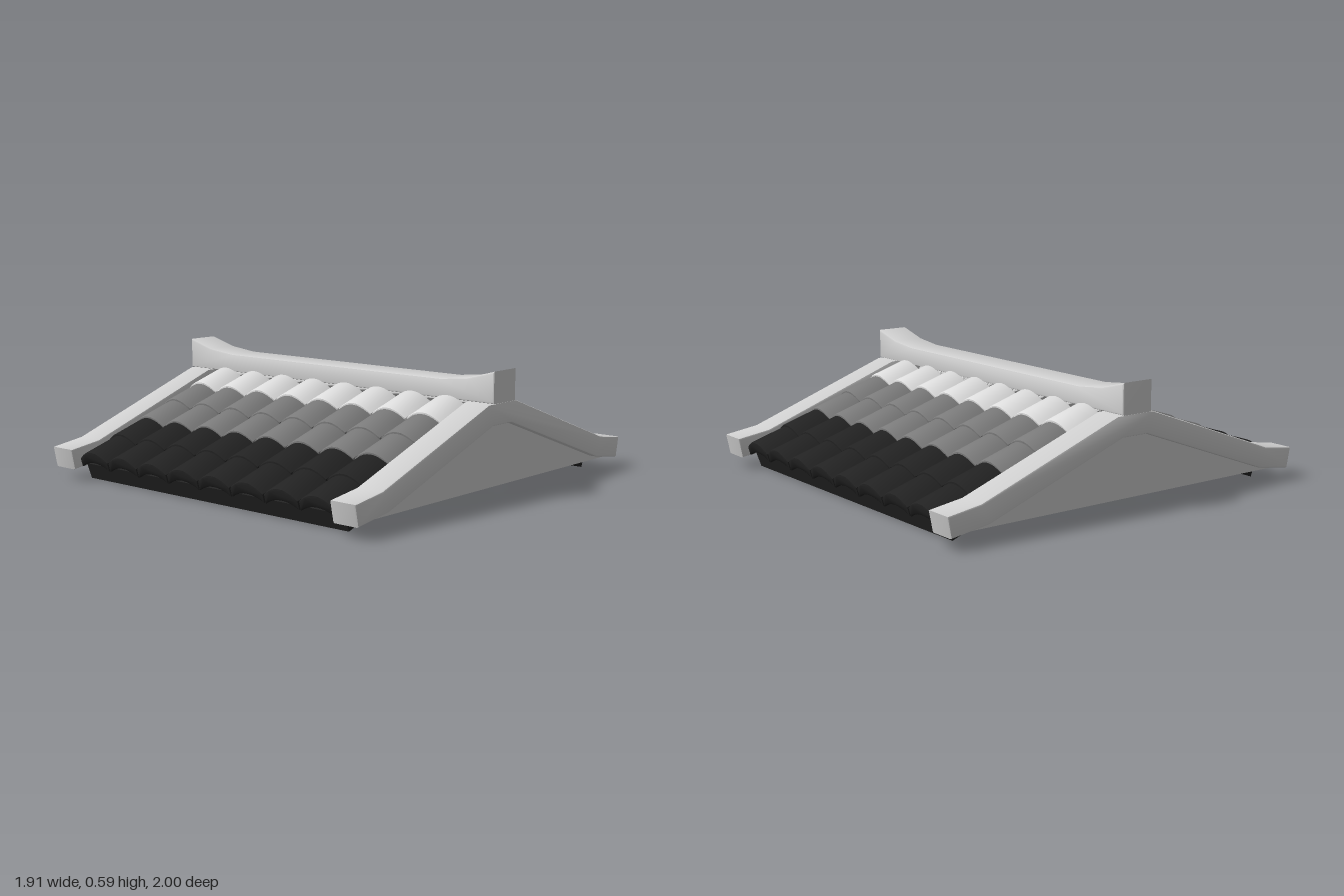
import * as THREE from 'three';
import { toCreasedNormals } from 'three/addons/utils/BufferGeometryUtils.js';

const mat = (name, color) => {
  const m = new THREE.MeshStandardMaterial({ color });
  m.name = name;
  return m;
};

const shapeOf = (pts) => new THREE.Shape(pts.map(([x, y]) => new THREE.Vector2(x, y)));

// Extrude a profile to a total depth, centred on z, with a small bevel kept inside the outline
function solid(pts, depth, bevel) {
  const g = new THREE.ExtrudeGeometry(shapeOf(pts), {
    depth: depth - 2 * bevel, bevelEnabled: bevel > 0, bevelSize: bevel,
    bevelThickness: bevel, bevelOffset: -bevel, bevelSegments: 2,
  });
  g.translate(0, 0, -(depth - 2 * bevel) / 2);
  return toCreasedNormals(g, 0.6);
}

// Complete a right-hand run of points with its mirror image
const mirrored = (pts) => [...pts, ...pts.map(([x, y]) => [-x, y]).reverse()];

export function createModel() {
  const root = new THREE.Group();
  root.name = 'tiledRoof';
  const plaster = mat('pale plaster', 0xd2d2d2);
  const light = mat('white tile', 0xdcdcdc);
  const grey = mat('grey tile', 0x7a7a7a);
  const black = mat('black tile', 0x222222);

  const add = (parent, name, geo, material, x = 0, y = 0, z = 0) => {
    const m = new THREE.Mesh(geo, material);
    m.name = name;
    m.position.set(x, y, z);
    parent.add(m);
    return m;
  };

  // Ridge beam with upswept ends
  const ridge = solid(mirrored([[0.955, 0.443], [0.955, 0.587], [0.81, 0.547], [0.66, 0.53]]), 0.165, 0.008);
  add(root, 'ridgeBeam', ridge, plaster);

  // Gable beams and the recessed panels below them
  const top = mirrored([[1.0, 0.152], [0.83, 0.177], [0.1, 0.442]]);
  const under = mirrored([[0.98, 0.055], [0.79, 0.083], [0.07, 0.343]]).reverse();
  const beam = solid([...top, ...under], 0.137, 0.009).rotateY(Math.PI / 2);
  const panel = solid(mirrored([[0.93, 0.06], [0.79, 0.1], [0.07, 0.36]]), 0.08, 0).rotateY(Math.PI / 2);
  for (const side of [1, -1]) {
    const name = side > 0 ? 'left' : 'right';
    add(root, name + 'GableBeam', beam, plaster, side * 0.878);
    add(root, name + 'GablePanel', panel, plaster, side * 0.87);
  }

  // Arched tile: curved shell section
  const arc = (base, rise) => {
    const pts = [];
    for (let i = 0; i <= 10; i++) {
      const t = i / 5 - 1;
      pts.push([t * 0.098, base + rise * (1 - t * t)]);
    }
    return pts;
  };
  const pitch = 0.1875;
  const tile = solid([...arc(-0.045, 0.03), ...arc(0, 0.043).reverse()], pitch + 0.008, 0.009);

  const rowColours = [light, grey, grey, black, black];
  const bands = [['upper', 0.07, 0.245, light], ['middle', 0.245, 0.65, grey], ['lower', 0.65, 0.936, black]];

  // Two sloping sides; local z runs down the slope
  for (const back of [false, true]) {
    const half = new THREE.Group();
    half.name = back ? 'backHalf' : 'frontHalf';
    half.rotation.y = back ? Math.PI : 0;
    const slope = new THREE.Group();
    slope.name = 'slope';
    slope.position.y = 0.32;
    slope.rotation.x = THREE.MathUtils.degToRad(20);
    half.add(slope);
    root.add(half);

    // Boards under the tiles
    for (const [name, from, to, m] of bands) {
      add(slope, name + 'Board', new THREE.BoxGeometry(1.62, 0.08, to - from), m, 0, 0.04, (from + to) / 2);
    }

    // Rows of tiles, each tilted slightly to lap the row below
    rowColours.forEach((m, row) => {
      for (let col = 0; col < 8; col++) {
        const t = add(slope, 'tile', tile, m, (col - 3.5) * 0.2, 0.123, 0.126 + row * pitch);
        t.rotation.x = -0.05;
      }
    });
  }
  return root;
}
